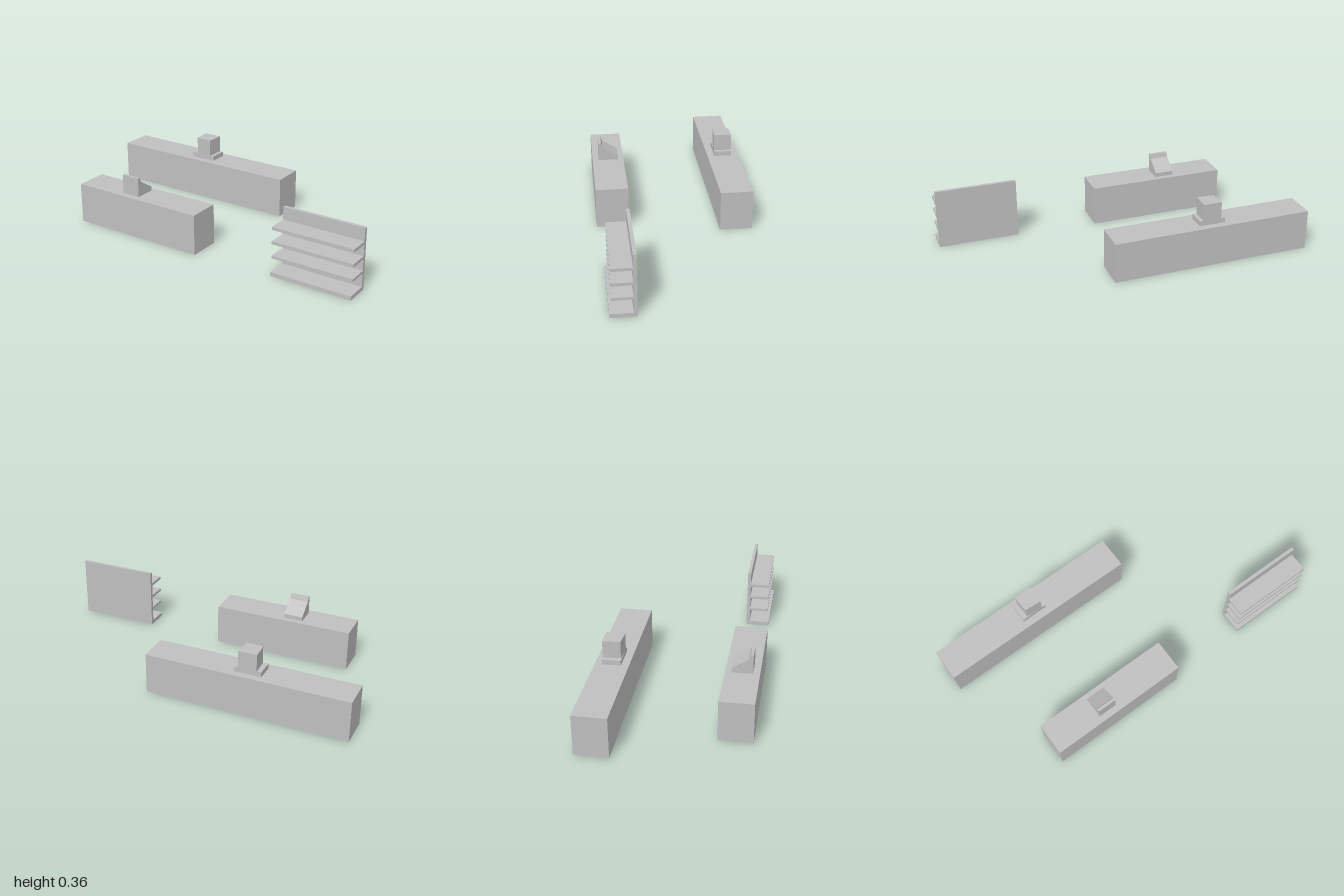
import * as THREE from 'three';

export function createModel() {
  const model = new THREE.Group();
  const grey = new THREE.MeshStandardMaterial({ color: 0xbfbfbf });
  grey.name = 'plain grey';

  const add = (name, geometry, parent = model) => {
    const mesh = new THREE.Mesh(geometry, grey);
    mesh.name = name;
    parent.add(mesh);
    return mesh;
  };

  // Box given by its limits on each axis
  const block = (name, [x0, x1], [y0, y1], [z0, z1], parent) =>
    add(name, new THREE.BoxGeometry(x1 - x0, y1 - y0, z1 - z0), parent)
      .position.set((x0 + x1) / 2, (y0 + y1) / 2, (z0 + z1) / 2);

  const extrude = (points, depth) => new THREE.ExtrudeGeometry(
    new THREE.Shape(points.map(([a, b]) => new THREE.Vector2(a, b))),
    { depth, bevelEnabled: false });

  const top = 0.236;

  // Two long counters
  block('backCounter', [-1, 0.173], [0, top], [-0.446, -0.259]);
  block('frontCounter', [-0.765, 0.054], [0, top], [0.259, 0.446]);

  // Display on the back counter: flat base and slightly skewed box
  const display = new THREE.Group();
  display.name = 'display';
  model.add(display);
  block('displayBase', [-0.493, -0.339], [top, 0.265], [-0.405, -0.302], display);
  const box = extrude([[-0.467, 0.406], [-0.462, 0.307], [-0.364, 0.301], [-0.36, 0.406]].reverse(), 0.099);
  box.rotateX(-Math.PI / 2); // plan y becomes -z
  add('displayBox', box, display).position.y = 0.265;

  // Cash register on the front counter: side profile as (z, y)
  const profile = [[0.409, top], [0.409, 0.347], [0.392, 0.347], [0.384, 0.321], [0.292, 0.261], [0.292, top]];
  const register = extrude(profile.map(([z, y]) => [-z, y]), 0.111);
  register.rotateY(Math.PI / 2); // profile -z becomes z
  add('register', register).position.x = -0.47;

  // Shelf rack: back panel and four shelves
  const rack = new THREE.Group();
  rack.name = 'shelfRack';
  model.add(rack);
  const width = [0.528, 1];
  block('backPanel', width, [0, 0.353], [0.284, 0.303], rack);
  [[0, 0.023, 0.424], [0.1, 0.115, 0.414], [0.181, 0.198, 0.414], [0.263, 0.28, 0.414]]
    .forEach(([y0, y1, z]) => block('shelf', width, [y0, y1], [0.303, z], rack));

  return model;
}
